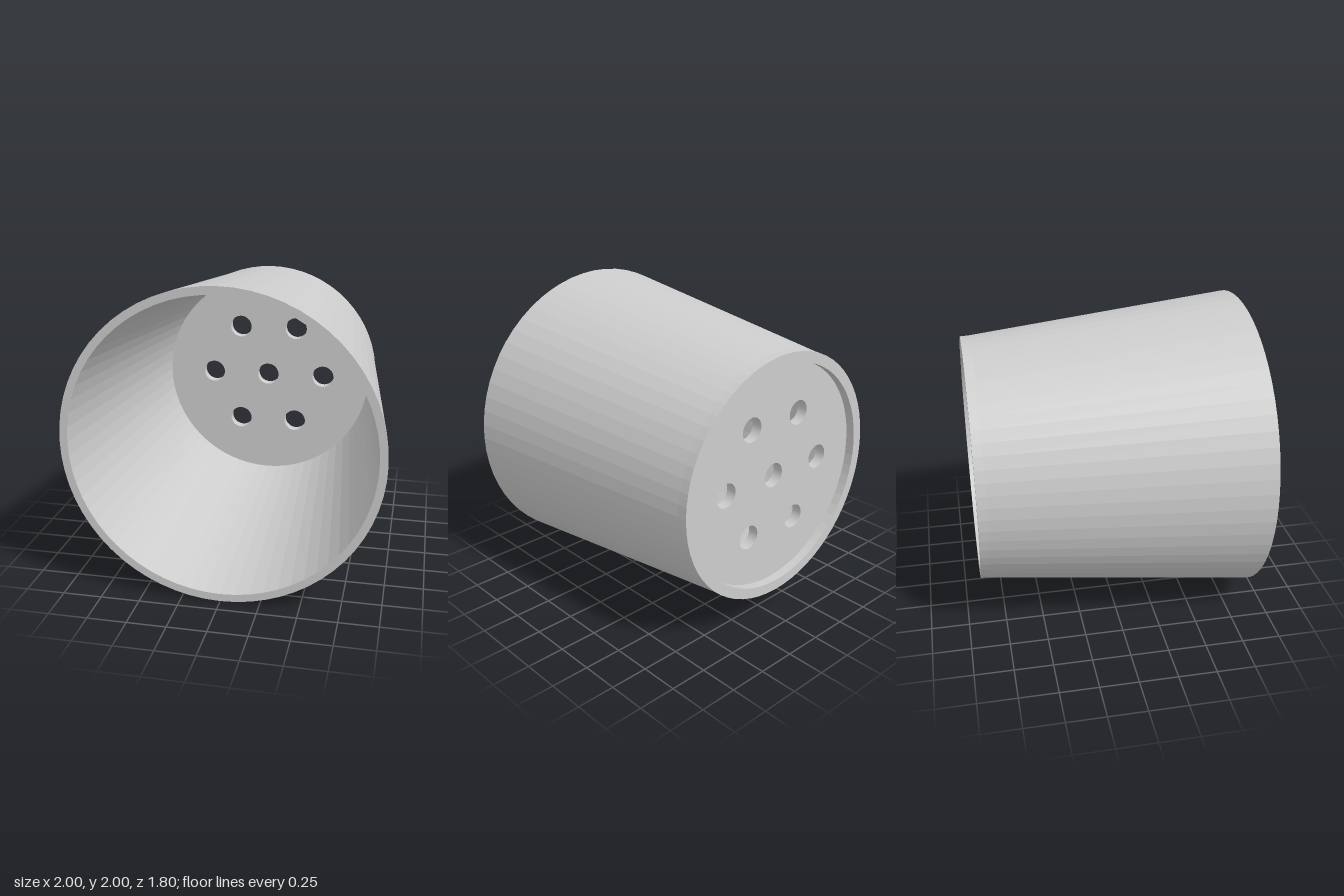
import * as THREE from 'three';

const SEGMENTS = 64;

export function createModel() {
  const group = new THREE.Group();
  group.name = 'drainagePot';
  const grey = new THREE.MeshStandardMaterial({ color: 0xcccccc, flatShading: true });
  grey.name = 'lightGrey';

  // Tapered wall with open rim and foot ring: radius, position along the axis
  const profile = [
    [0.735, -0.84], [0.735, -0.9], [0.805, -0.9], [0.808, -0.84],
    [1, 0.9], [0.95, 0.9], [0.76, -0.77],
  ].map(([r, h]) => new THREE.Vector2(r, h));
  const wall = new THREE.Mesh(new THREE.LatheGeometry(profile, SEGMENTS).rotateX(Math.PI / 2), grey);
  wall.name = 'taperedWall';
  wall.position.y = 1;
  group.add(wall);

  // Floor plate with one central hole and a ring of six
  const disc = new THREE.Shape().absarc(0, 0, 0.762, 0, Math.PI * 2);
  const addHole = (x, y) => disc.holes.push(new THREE.Path().absarc(x, y, 0.08, 0, Math.PI * 2, true));
  addHole(0, 0);
  for (let i = 0; i < 6; i++) {
    const a = (i * Math.PI) / 3;
    addHole(0.42 * Math.cos(a), 0.42 * Math.sin(a));
  }
  const floor = new THREE.Mesh(
    new THREE.ExtrudeGeometry(disc, { depth: 0.07, bevelEnabled: false, curveSegments: SEGMENTS }), grey);
  floor.name = 'perforatedFloor';
  floor.position.set(0, 1, -0.84);
  group.add(floor);

  return group;
}
